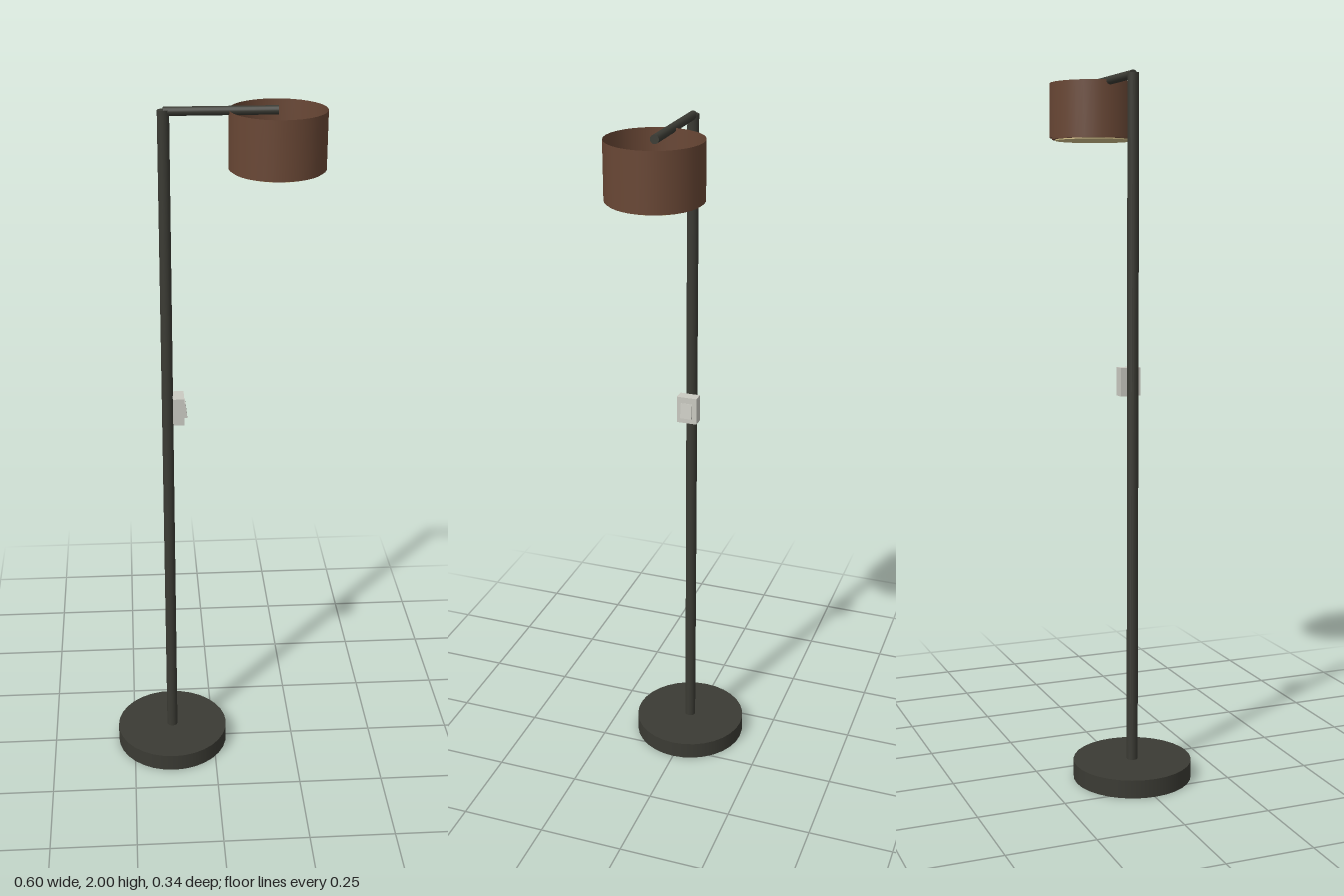
import * as THREE from 'three';

const paint = (name, color, side = THREE.FrontSide) => {
  const m = new THREE.MeshStandardMaterial({ color, side });
  m.name = name;
  return m;
};

export function createModel() {
  const lamp = new THREE.Group();
  lamp.name = 'floorLamp';
  const metal = paint('darkMetal', 0x3b3b34);
  const brown = paint('brownShade', 0x694735, THREE.DoubleSide);
  const cream = paint('creamDiffuser', 0xd3c08a);
  const plastic = paint('lightPlastic', 0xcacac2);

  const add = (name, geometry, material, x, y, z = 0) => {
    const mesh = new THREE.Mesh(geometry, material);
    mesh.name = name;
    mesh.position.set(x, y, z);
    lamp.add(mesh);
    return mesh;
  };
  const disc = (r, h, sides = 32, open = false) => new THREE.CylinderGeometry(r, r, h, sides, 1, open);

  const poleX = -0.13, shadeX = 0.17;

  // Round foot, upright pole and horizontal arm
  add('base', disc(0.17, 0.052), metal, poleX, 0.026);
  add('pole', disc(0.016, 1.942, 16), metal, poleX, 1.021);
  const arm = add('arm', disc(0.012, shadeX - poleX, 16), metal, (poleX + shadeX) / 2, 1.988);
  arm.rotation.z = Math.PI / 2;

  // Drum shade, open at the top, with a floor and a glowing lower face
  add('shade', disc(0.13, 0.155, 32, true), brown, shadeX, 1.9125);
  add('shadeFloor', disc(0.123, 0.018), brown, shadeX, 1.839);
  add('diffuser', disc(0.114, 0.004), cream, shadeX, 1.829);

  // Switch box on the pole with a tilted rocker
  add('switchBox', new THREE.BoxGeometry(0.032, 0.08, 0.06), plastic, -0.099, 1.148);
  const rocker = add('switchRocker', new THREE.BoxGeometry(0.012, 0.045, 0.034), plastic, -0.083, 1.147);
  rocker.rotation.z = 0.12;

  return lamp;
}
